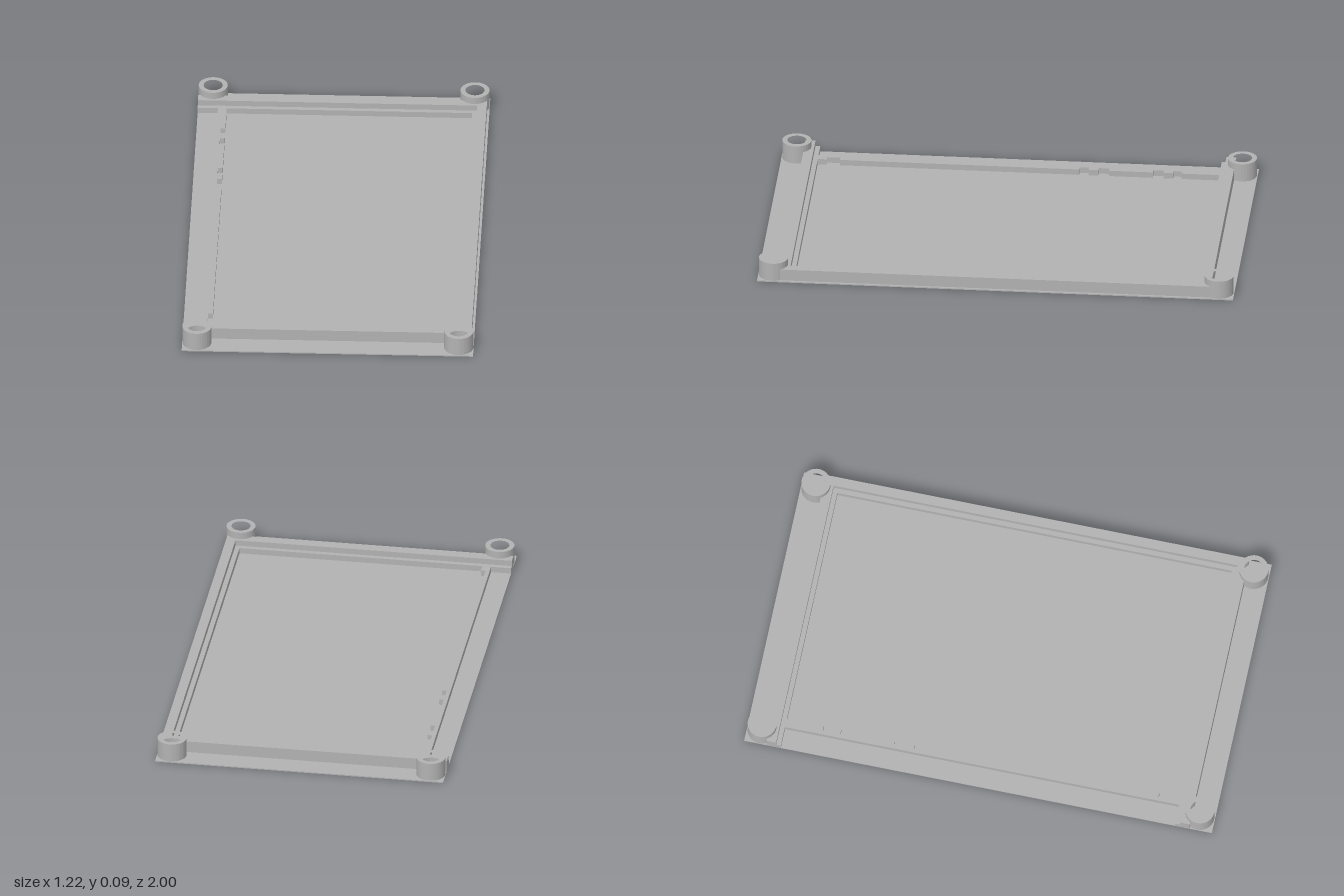
import * as THREE from 'three';

const FLOOR = 0.005, LEDGE = 0.03, WALL = 0.055, POST = 0.085;
const POST_X = 0.548, POST_Z = 0.936;

export function createModel() {
  const model = new THREE.Group();
  model.name = 'trayCover';
  const grey = new THREE.MeshStandardMaterial({ color: 0xb2b2b2 });
  grey.name = 'plain grey';
  grey.flatShading = true;

  // Upright prism from a plan outline of [x, z] points
  function prism(name, outline, y0, y1, hole) {
    const shape = new THREE.Shape(outline.map(([x, z]) => new THREE.Vector2(x, -z)));
    if (hole) shape.holes.push(new THREE.Path(hole.map(([x, z]) => new THREE.Vector2(x, -z))));
    const geo = new THREE.ExtrudeGeometry(shape, { depth: y1 - y0, bevelEnabled: false });
    geo.rotateX(-Math.PI / 2).translate(0, y0, 0);
    const mesh = new THREE.Mesh(geo, grey);
    mesh.name = name;
    model.add(mesh);
  }
  const rect = (x0, x1, z0, z1) => [[x0, z0], [x1, z0], [x1, z1], [x0, z1]];
  const circle = (cx, cz, r, n = 32) => Array.from({ length: n }, (_, i) => {
    const a = (i / n) * Math.PI * 2;
    return [cx + r * Math.cos(a), cz + r * Math.sin(a)];
  });

  // Thin floor sheet
  prism('floor', rect(-0.61, 0.61, -1, 1), 0, FLOOR);

  for (const s of [-1, 1]) {
    const end = s > 0 ? 'front' : 'back';
    // End wall, its outer edge scooped out to keep the post bores clear
    const outline = [[-0.61, s * 0.863], [0.6, s * 0.863], [0.6, s * 0.905]];
    for (const cx of [POST_X, -POST_X]) {
      const r = 0.05, a0 = Math.asin((0.905 - POST_Z) / r);
      for (let i = 0; i <= 8; i++) {
        const a = a0 + (i / 8) * (-Math.PI - 2 * a0);
        outline.push([cx + r * Math.cos(a), s * (POST_Z + r * Math.sin(a))]);
      }
    }
    outline.push([-0.61, s * 0.905]);
    prism(end + 'Wall', outline, FLOOR, WALL);
    // Lower step inside the end wall
    prism(end + 'Ledge', rect(-0.61, 0.56, s * 0.843, s * 0.863), FLOOR, LEDGE);

    // Hollow corner posts
    for (const side of [-1, 1]) {
      const cx = side * POST_X;
      prism(end + (side > 0 ? 'Left' : 'Right') + 'Post',
        circle(cx, s * POST_Z, 0.061), FLOOR, POST, circle(cx, s * POST_Z, 0.04));
    }
  }

  // Long wall and its inner step
  prism('leftWall', rect(0.56, 0.6, -0.863, 0.863), FLOOR, WALL);
  prism('leftLedge', rect(0.54, 0.56, -0.843, 0.843), FLOOR, LEDGE);

  // Low strip on the open side, with clip notches cut into its inner edge
  const strip = [[-0.525, 0.843], [-0.525, -0.843], [-0.488, -0.843]];
  const notches = [[-0.685, -0.65], [-0.61, -0.565], [-0.38, -0.335], [-0.295, -0.255], [0.75, 0.805]];
  for (const [a, b] of notches) strip.push([-0.488, a], [-0.508, a], [-0.508, b], [-0.488, b]);
  strip.push([-0.488, 0.843]);
  prism('notchedStrip', strip, FLOOR, LEDGE);

  return model;
}
